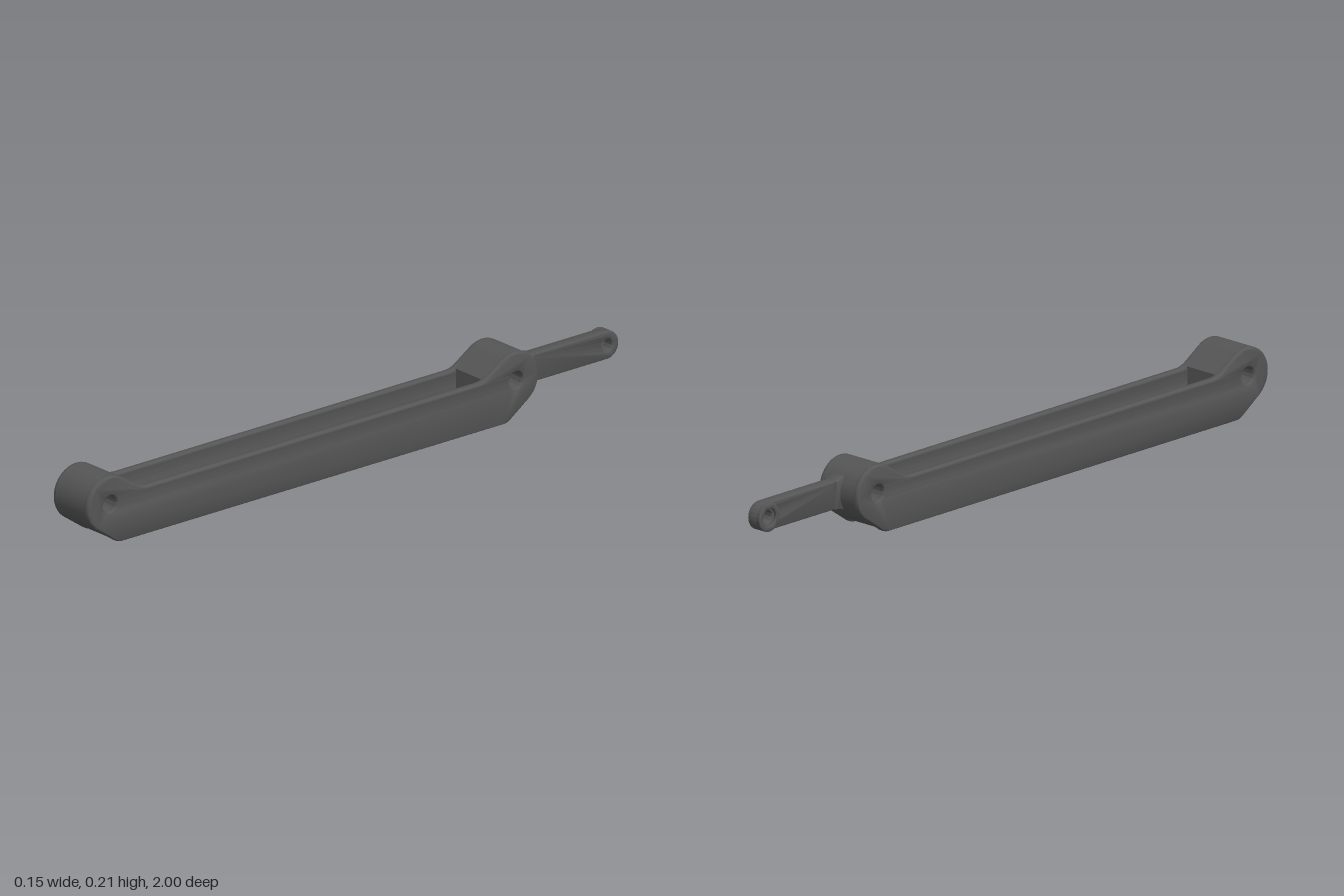
import * as THREE from 'three';
import { toCreasedNormals } from 'three/addons/utils/BufferGeometryUtils.js';

const HALF = 0.077;        // half width of the link
const INNER = 0.053;       // half width of the pocket
const EYE_Y = 0.123, EYE_R = 0.083, HOLE_R = 0.025;
const FRONT = 0.917, REAR = -0.585, MID = (FRONT + REAR) / 2;
const TOP = 0.145, FLOOR = 0.02;

const material = new THREE.MeshStandardMaterial({ color: 0x555555, side: THREE.DoubleSide });

function addMesh(group, name, geometry) {
  const mesh = new THREE.Mesh(toCreasedNormals(geometry, 0.6), material);
  mesh.name = name;
  group.add(mesh);
  return mesh;
}

// Extrude a (z, y) side profile across x, from x0 to x1, with rounded edges
function extrudeAcross(shape, x0, x1, round = 0) {
  const geometry = new THREE.ExtrudeGeometry(shape, {
    depth: x1 - x0 - 2 * round, curveSegments: 24, bevelEnabled: round > 0,
    bevelThickness: round, bevelSize: round, bevelOffset: -round, bevelSegments: 4,
  });
  geometry.rotateY(-Math.PI / 2);
  geometry.translate(x1 - round, 0, 0);
  return geometry;
}

function hole(shape, z, y, r) {
  shape.holes.push(new THREE.Path().absarc(z, y, r, 0, Math.PI * 2, true));
}

// Points around an eye between its two tangent angles, from below to above
function eyeArc(count = 28) {
  const a0 = -0.97, a1 = 2.15, points = [];
  for (let i = 0; i <= count; i++) {
    const a = a0 + (a1 - a0) * i / count;
    points.push(new THREE.Vector2(FRONT + EYE_R * Math.cos(a), EYE_Y + EYE_R * Math.sin(a)));
  }
  return points;
}

// Rounded corner between two straight runs
function corner(from, control, to) {
  return new THREE.QuadraticBezierCurve(
    new THREE.Vector2(...from), new THREE.Vector2(...control), new THREE.Vector2(...to)).getPoints(6);
}

const mirrorZ = (points) => points.map((p) => new THREE.Vector2(2 * MID - p.x, p.y)).reverse();

// Upper flank from eye to rail, shared by the walls and the end blocks
const upperFlank = () => corner([0.822, 0.160], [0.800, TOP], [0.776, TOP]);

function wallShape() {
  const half = [
    ...corner([0.872, 0], [0.885, 0], [0.897, 0.008]),
    ...eyeArc(),
    ...upperFlank(),
  ];
  const shape = new THREE.Shape([...half, ...mirrorZ(half)]);
  hole(shape, FRONT, EYE_Y, HOLE_R);
  hole(shape, REAR, EYE_Y, HOLE_R);
  return shape;
}

function endBlockShape(isRear) {
  let points = [
    new THREE.Vector2(0.804, FLOOR), new THREE.Vector2(0.914, FLOOR),
    ...eyeArc(),
    new THREE.Vector2(0.822, 0.160), new THREE.Vector2(0.804, 0.148),
  ];
  if (isRear) points = mirrorZ(points);
  const shape = new THREE.Shape(points);
  hole(shape, isRear ? REAR : FRONT, EYE_Y, HOLE_R);
  return shape;
}

function buildArm(group) {
  const arm = new THREE.Group();
  arm.name = 'arm';
  const r = 0.042, endZ = -0.958;

  // Flat bar with a rounded, drilled tip
  const bar = new THREE.Shape();
  bar.moveTo(-0.645, EYE_Y - r);
  bar.lineTo(-0.645, EYE_Y + r);
  bar.lineTo(endZ, EYE_Y + r);
  bar.absarc(endZ, EYE_Y, r, Math.PI / 2, Math.PI * 1.5, false);
  hole(bar, endZ, EYE_Y, 0.018);
  addMesh(arm, 'armBar', extrudeAcross(bar, -0.003, 0.035, 0.005));

  // Raised ring around the tip hole, on the right side
  const ring = new THREE.Shape().absarc(endZ, EYE_Y, r, 0, Math.PI * 2, false);
  hole(ring, endZ, EYE_Y, 0.026);
  addMesh(arm, 'tipRing', extrudeAcross(ring, -0.012, 0.005, 0.003));

  // Flared root blending the bar into the rear eye
  const root = new THREE.Shape();
  root.moveTo(-0.635, EYE_Y - 0.06);
  root.lineTo(-0.635, EYE_Y + 0.06);
  root.quadraticCurveTo(-0.66, EYE_Y + r + 0.001, -0.685, EYE_Y + r);
  root.lineTo(-0.685, EYE_Y - r);
  root.quadraticCurveTo(-0.66, EYE_Y - r - 0.001, -0.635, EYE_Y - 0.06);
  addMesh(arm, 'armRoot', extrudeAcross(root, -0.008, 0.04, 0.005));
  group.add(arm);
}

export function createModel() {
  const group = new THREE.Group();
  group.name = 'linkArm';

  // Side walls with both eyes
  addMesh(group, 'leftWall', extrudeAcross(wallShape(), INNER, HALF, 0.007));
  addMesh(group, 'rightWall', extrudeAcross(wallShape(), -HALF, -INNER, 0.007));

  // Solid eye blocks closing the pocket at each end
  addMesh(group, 'frontEye', extrudeAcross(endBlockShape(false), -0.068, 0.068));
  addMesh(group, 'rearEye', extrudeAcross(endBlockShape(true), -0.068, 0.068));

  // Pocket floor, which is also the ceiling of the channel underneath
  const floor = new THREE.BoxGeometry(2 * INNER + 0.01, 0.015, 1.29);
  floor.translate(0, FLOOR + 0.0075, MID);
  addMesh(group, 'pocketFloor', floor);

  // Concave fillets along the pocket floor and the channel ceiling
  for (const side of [-1, 1]) {
    for (const [name, y, dir, size] of [['pocketFillet', FLOOR + 0.015, 1, 0.01], ['channelFillet', FLOOR, -1, 0.008]]) {
      const fillet = new THREE.Shape();
      fillet.moveTo(side * INNER, y);
      fillet.lineTo(side * INNER, y + dir * size);
      fillet.quadraticCurveTo(side * INNER, y, side * (INNER - size), y);
      const geometry = new THREE.ExtrudeGeometry(fillet, { depth: 1.28, bevelEnabled: false, curveSegments: 5 });
      geometry.translate(0, 0, MID - 0.64);
      addMesh(group, name, geometry);
    }
  }

  buildArm(group);
  return group;
}
